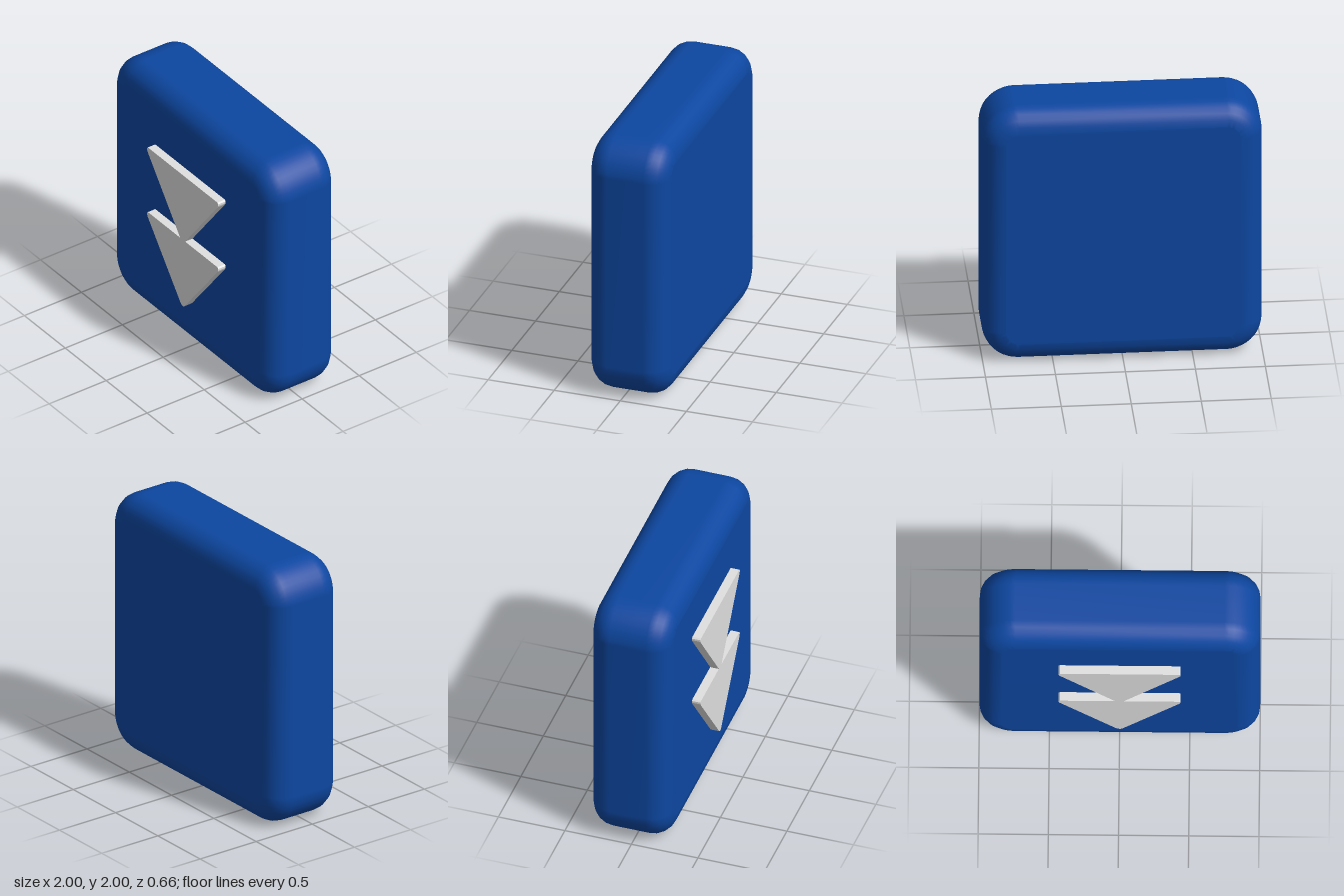
import * as THREE from 'three';
import { mergeVertices } from 'three/addons/utils/BufferGeometryUtils.js';

const blue = new THREE.MeshStandardMaterial({ name: 'blue', color: 0x0d47a1 });
const lightGrey = new THREE.MeshStandardMaterial({ name: 'light grey', color: 0xe0e0e0 });

// Square outline centred on the origin, with round corners
function roundedSquare(half, radius) {
  const shape = new THREE.Shape();
  const c = half - radius;
  shape.absarc(c, c, radius, 0, Math.PI / 2);
  shape.absarc(-c, c, radius, Math.PI / 2, Math.PI);
  shape.absarc(-c, -c, radius, Math.PI, Math.PI * 1.5);
  shape.absarc(c, -c, radius, Math.PI * 1.5, Math.PI * 2);
  return shape;
}

// Thick tile with soft edges and smooth normals
function makeTile() {
  const bevel = 0.16, back = -0.33, front = 0.265;
  let geometry = new THREE.ExtrudeGeometry(roundedSquare(1 - bevel, 0.1), {
    depth: front - back - 2 * bevel,
    bevelThickness: bevel,
    bevelSize: bevel,
    bevelSegments: 5,
    curveSegments: 5,
  });
  geometry.deleteAttribute('normal');
  geometry.deleteAttribute('uv');
  geometry = mergeVertices(geometry, 1e-4);
  geometry.computeVertexNormals();
  geometry.translate(0, 1, back + bevel);
  const mesh = new THREE.Mesh(geometry, blue);
  mesh.name = 'tile';
  return mesh;
}

// Two stacked down-pointing triangles as one raised plate
function makeDoubleArrow() {
  const right = [
    [0.425, 1.51], [0.435, 1.5], [0.435, 1.485], [0.428, 1.47], [0.03, 0.95],
    [0.425, 0.95], [0.435, 0.94], [0.435, 0.925], [0.428, 0.91],
    [0.024, 0.388], [0.012, 0.377],
  ];
  const left = right.map(([x, y]) => [-x, y]).reverse();
  const outline = [...right, ...left].map(([x, y]) => new THREE.Vector2(x, y));
  const geometry = new THREE.ExtrudeGeometry(new THREE.Shape(outline), {
    depth: 0.08,
    bevelEnabled: false,
  });
  geometry.translate(0, 0, 0.25);
  const mesh = new THREE.Mesh(geometry, lightGrey);
  mesh.name = 'doubleDownArrow';
  return mesh;
}

export function createModel() {
  const model = new THREE.Group();
  model.name = 'downArrowButton';
  model.add(makeTile(), makeDoubleArrow());
  return model;
}
